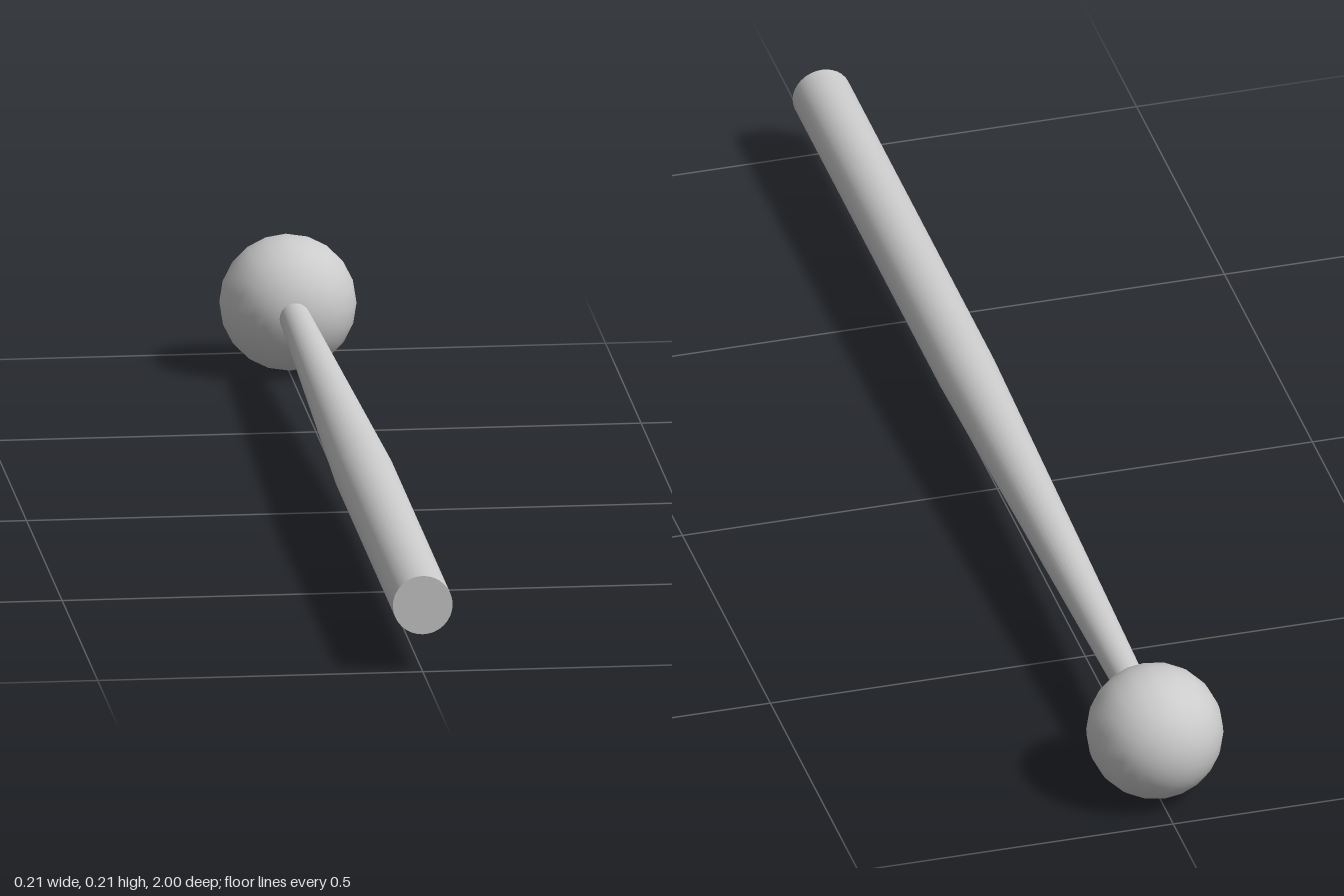
import * as THREE from 'three';

export function createModel() {
  const group = new THREE.Group();
  const material = new THREE.MeshStandardMaterial({ color: 0xcccccc });
  const R = 0.105; // ball radius, also the height of the shaft axis

  // Adds a part whose own y axis points to the front (+z)
  function add(name, geometry, z) {
    geometry.rotateX(Math.PI / 2);
    const mesh = new THREE.Mesh(geometry, material);
    mesh.name = name;
    mesh.position.set(0, R, z);
    group.add(mesh);
  }

  // Straight grip at the front
  const joint = 0.17, neck = -0.83;
  add('grip', new THREE.CylinderGeometry(0.046, 0.046, 1 - joint, 32), (1 + joint) / 2);

  // Shaft narrowing towards the ball
  add('taperedShaft', new THREE.CylinderGeometry(0.046, 0.023, joint - neck, 32, 1, true), (joint + neck) / 2);

  // Ball head at the back
  add('ballHead', new THREE.SphereGeometry(R, 20, 20), R - 1);

  return group;
}
